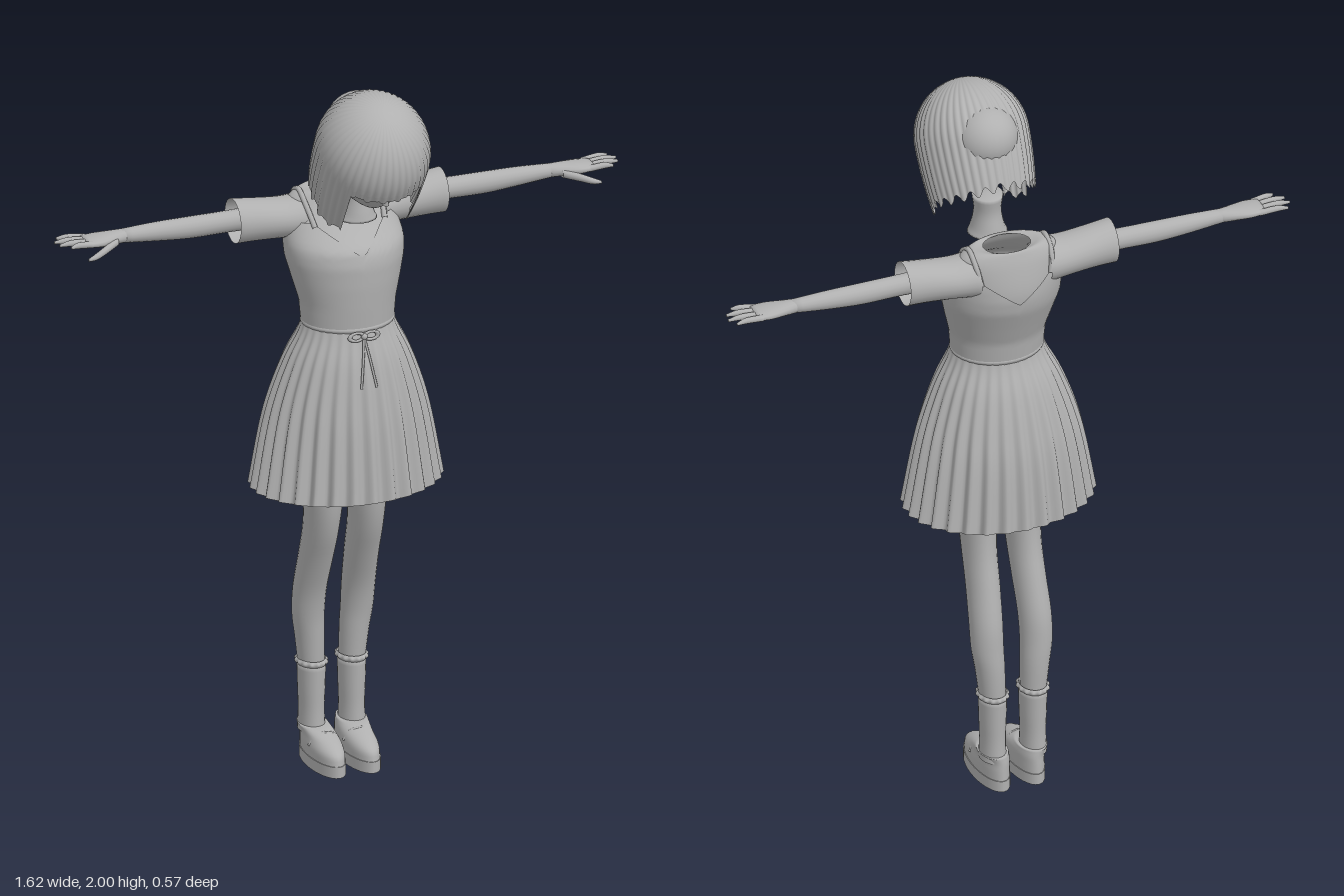
import * as THREE from 'three';

const grey = new THREE.MeshStandardMaterial({ color: 0xb0b0b0, side: THREE.DoubleSide });
grey.name = 'grey';
const TAU = Math.PI * 2;

// Closed-ring surface: fn(v, a) gives a point, v rises 0..1, a runs round from +z to +x
function surface(fn, nv, seg, capLow = false, capHigh = false) {
  const pos = [], idx = [];
  for (let i = 0; i <= nv; i++)
    for (let j = 0; j < seg; j++) pos.push(...fn(i / nv, (j / seg) * TAU));
  for (let i = 0; i < nv; i++)
    for (let j = 0; j < seg; j++) {
      const k = (j + 1) % seg, a = i * seg + j, b = i * seg + k;
      idx.push(a, b, b + seg, a, b + seg, a + seg);
    }
  const cap = (row, up) => {
    const c = pos.length / 3, m = [0, 0, 0];
    for (let j = 0; j < seg; j++) for (let k = 0; k < 3; k++) m[k] += pos[(row * seg + j) * 3 + k] / seg;
    pos.push(...m);
    for (let j = 0; j < seg; j++) {
      const a = row * seg + j, b = row * seg + ((j + 1) % seg);
      idx.push(...(up ? [a, b, c] : [b, a, c]));
    }
  };
  if (capLow) cap(0, false);
  if (capHigh) cap(nv, true);
  const g = new THREE.BufferGeometry();
  g.setAttribute('position', new THREE.Float32BufferAttribute(pos, 3));
  g.setIndex(idx);
  g.computeVertexNormals();
  return g;
}

// Smooth loft through rows of [x, y, z, radiusX, radiusZ], y rising
function loft(rows, seg = 24, low = false, high = false) {
  const c = new THREE.CatmullRomCurve3(rows.map((r) => new THREE.Vector3(r[0], r[1], r[2])), false, 'catmullrom');
  const s = new THREE.CatmullRomCurve3(rows.map((r) => new THREE.Vector3(r[3], 0, r[4])), false, 'catmullrom');
  return surface((v, a) => {
    const p = c.getPoint(v), q = s.getPoint(v);
    return [p.x + q.x * Math.sin(a), p.y, p.z + q.z * Math.cos(a)];
  }, (rows.length - 1) * 4, seg, low, high);
}

// Loft running outward along x, rows of [x, y, z, radiusY, radiusZ]
const limb = (rows, s, seg = 16, low = false, high = true) =>
  loft(rows.map(([x, y, z, ry, rz]) => [-s * y, x, z, ry, rz]), seg, low, high).rotateZ((-s * Math.PI) / 2);

// Straight-line reading of a profile table of [y, z, radiusX, radiusZ]
function at(table, y) {
  let i = 0;
  while (i < table.length - 2 && table[i + 1][0] < y) i++;
  const a = table[i], b = table[i + 1], t = THREE.MathUtils.clamp((y - a[0]) / (b[0] - a[0]), 0, 1);
  return a.map((n, k) => n + (b[k] - n) * t);
}

const TORSO = [
  [1.29, -0.058, 0.121, 0.102], [1.36, -0.06, 0.127, 0.109], [1.42, -0.07, 0.143, 0.122],
  [1.48, -0.082, 0.158, 0.134], [1.52, -0.09, 0.16, 0.132], [1.56, -0.113, 0.155, 0.106],
  [1.61, -0.132, 0.148, 0.076], [1.64, -0.136, 0.132, 0.062], [1.655, -0.135, 0.1, 0.055], [1.648, -0.13, 0.066, 0.048],
];
const SKIRT = [
  [0.83, -0.07, 0.258, 0.202], [1.0, -0.07, 0.23, 0.182], [1.1, -0.067, 0.207, 0.163],
  [1.2, -0.062, 0.172, 0.139], [1.27, -0.058, 0.138, 0.114], [1.31, -0.058, 0.123, 0.104],
];

export function createModel() {
  const model = new THREE.Group();
  const add = (name, geo, parent = model) => {
    const m = new THREE.Mesh(geo, grey);
    m.name = name;
    parent.add(m);
    return m;
  };
  const tube = (pts, r, n = 16) =>
    new THREE.TubeGeometry(new THREE.CatmullRomCurve3(pts.map((p) => new THREE.Vector3(...p))), n, r, 6);

  // Blouse with an open neck, and a bodice over it with V necklines
  add('blouse', loft(TORSO.map(([y, z, rx, rz]) => [0, y, z, rx, rz]), 40));
  add('bodice', surface((v, a) => {
    const top = 1.51 + 0.075 * Math.min(1, Math.abs(Math.sin(a)) / 0.65);
    const y = 1.3 + v * (top - 1.3), [, z, rx, rz] = at(TORSO, y);
    return [(rx + 0.006) * Math.sin(a), y, z + (rz + 0.006) * Math.cos(a)];
  }, 20, 64));

  // Pleated skirt, waistband and bow
  const skirtRows = SKIRT.map(([, z, rx, rz]) => new THREE.Vector3(z, rx, rz));
  const skirtY = new THREE.CatmullRomCurve3(SKIRT.map((r) => new THREE.Vector3(0, r[0], 0)), false, 'catmullrom');
  const skirtCurve = new THREE.CatmullRomCurve3(skirtRows, false, 'catmullrom');
  add('skirt', surface((v, a) => {
    const p = skirtCurve.getPoint(v), wave = Math.cos(a * 30), fall = 1 - v;
    const f = 1 + 0.045 * fall * wave;
    return [p.y * f * Math.sin(a), skirtY.getPoint(v).y + 0.004 * fall * wave, p.x + p.z * f * Math.cos(a)];
  }, 24, 240));
  add('waistband', loft([[0, 1.292, -0.058, 0.126, 0.108], [0, 1.3, -0.058, 0.13, 0.111], [0, 1.308, -0.058, 0.127, 0.108]], 40));
  const bow = new THREE.Group();
  bow.name = 'bow';
  model.add(bow);
  for (const s of [1, -1]) {
    add('bowLoop', new THREE.TorusGeometry(0.014, 0.005, 6, 16).scale(1.4, 0.8, 1).translate(s * 0.021, 1.286, 0.06), bow);
    add('bowTail', tube([[0, 1.284, 0.06], [s * 0.009, 1.23, 0.078], [s * 0.022, 1.15, 0.097]], 0.0035), bow);
  }
  add('bowKnot', new THREE.SphereGeometry(0.009, 10, 8).translate(0, 1.286, 0.062), bow);

  for (const s of [1, -1]) {
    const side = s > 0 ? 'left' : 'right';

    // Strap and open sleeve
    add(side + 'Strap', tube([[s * 0.1, 1.575, -0.04], [s * 0.108, 1.625, -0.085], [s * 0.11, 1.654, -0.135],
      [s * 0.108, 1.625, -0.182], [s * 0.1, 1.575, -0.2]], 0.008, 24));
    add(side + 'Sleeve', limb([[0.1, 1.58, -0.135, 0.06, 0.072], [0.16, 1.582, -0.135, 0.055, 0.066],
      [0.24, 1.588, -0.133, 0.058, 0.06], [0.3, 1.592, -0.132, 0.062, 0.059]], s, 24, false, false));

    // Arm, palm, fingers and thumb
    add(side + 'Arm', limb([[0.12, 1.592, -0.135, 0.036, 0.034], [0.3, 1.592, -0.135, 0.03, 0.028],
      [0.42, 1.591, -0.136, 0.03, 0.027], [0.52, 1.594, -0.136, 0.026, 0.025], [0.62, 1.597, -0.135, 0.019, 0.02]], s));
    add(side + 'Palm', limb([[0.61, 1.597, -0.135, 0.019, 0.02], [0.65, 1.597, -0.134, 0.018, 0.03],
      [0.69, 1.597, -0.132, 0.016, 0.039], [0.73, 1.598, -0.132, 0.011, 0.038]], s));
    for (let i = 0; i < 4; i++) {
      const k = i - 1.5, len = [0.055, 0.078, 0.083, 0.068][3 - i];
      add(side + 'Finger', limb([[0.715, 1.598, -0.133 + k * 0.02, 0.009, 0.0095], [0.73 + len * 0.5, 1.603, -0.133 + k * 0.023, 0.0085, 0.008],
        [0.725 + len, 1.601, -0.133 + k * 0.026, 0.004, 0.004]], s, 10));
    }
    add(side + 'Thumb', limb([[0.64, 1.592, -0.115, 0.012, 0.013], [0.685, 1.582, -0.088, 0.011, 0.011],
      [0.715, 1.572, -0.078, 0.009, 0.009], [0.738, 1.567, -0.074, 0.004, 0.004]], s, 10));

    // Leg
    add(side + 'Leg', loft([[1.05, 0.066, -0.07, 0.06, 0.076], [0.82, 0.063, -0.073, 0.052, 0.072], [0.7, 0.064, -0.088, 0.046, 0.067],
      [0.6, 0.066, -0.12, 0.045, 0.06], [0.5, 0.07, -0.152, 0.045, 0.053], [0.42, 0.07, -0.165, 0.044, 0.047],
      [0.35, 0.064, -0.17, 0.04, 0.044], [0.25, 0.058, -0.172, 0.034, 0.038]]
      .reverse().map(([y, x, z, rx, rz]) => [s * x, y, z, rx, rz]), 24));

    // Sock with a frilled top
    add(side + 'Sock', loft([[0.08, 0.036, 0.048], [0.14, 0.034, 0.045], [0.2, 0.036, 0.046], [0.275, 0.038, 0.048]]
      .map(([y, rx, rz]) => [s * 0.058, y, -0.172, rx, rz]), 24, false, true));
    add(side + 'SockFrill', surface((v, a) => {
      const r = 1 + 0.05 * Math.cos(a * 14) * Math.sin(v * Math.PI), b = Math.sin(v * Math.PI) * 0.006;
      return [s * 0.058 + (0.037 + b) * r * Math.sin(a), 0.268 + v * 0.018, -0.172 + (0.047 + b) * r * Math.cos(a)];
    }, 6, 84));

    // Shoe: flat sole, rounded upper and a strap
    const shoe = new THREE.Group();
    shoe.name = side + 'Shoe';
    model.add(shoe);
    const x = s * 0.05;
    add('sole', new THREE.CylinderGeometry(1, 1, 0.032, 32).scale(0.047, 1, 0.122).translate(x, 0.016, -0.112), shoe);
    add('upper', loft([[x, 0.03, -0.112, 0.045, 0.12], [x, 0.058, -0.116, 0.045, 0.114], [x, 0.08, -0.136, 0.042, 0.092],
      [s * 0.056, 0.1, -0.168, 0.04, 0.058]], 32, false, true), shoe);
    add('shoeStrap', tube([[x - 0.043, 0.06, -0.1], [x - 0.028, 0.084, -0.096], [x, 0.092, -0.094],
      [x + 0.028, 0.084, -0.096], [x + 0.043, 0.06, -0.1]], 0.005), shoe);
  }

  // Neck, set ahead of the body
  add('neck', loft([[0, 1.612, 0.008, 0.055, 0.053], [0, 1.635, 0.008, 0.045, 0.049], [0, 1.68, 0.008, 0.037, 0.041],
    [0, 1.728, 0.008, 0.042, 0.046]], 24, true, true));

  // Head bowed forward
  const head = new THREE.Group();
  head.name = 'head';
  head.position.set(0, 1.845, 0.12);
  head.rotation.x = 0.52;
  model.add(head);

  // Face narrowing to the chin, with a small nose
  const face = new THREE.SphereGeometry(0.13, 32, 24);
  const p = face.attributes.position;
  for (let i = 0; i < p.count; i++) {
    const t = Math.max(0, -p.getY(i) / 0.13);
    p.setXYZ(i, p.getX(i) * (0.98 - 0.35 * t * t), p.getY(i) * 0.95 - 0.015, p.getZ(i) * (1.08 - 0.25 * t) + 0.06 * t * t);
  }
  face.computeVertexNormals();
  add('face', face, head);
  add('nose', new THREE.ConeGeometry(0.009, 0.025, 8).translate(0, -0.045, 0.142), head);

  // Ribbed bob: short fringe, long side locks, ragged back
  add('hair', surface((v, a) => {
    const f = a > Math.PI ? TAU - a : a;
    const rag = 0.008 * Math.cos(a * 22);
    const rim = f < 0.72 ? -0.022 + rag * 0.5 : f < 1.35 ? -0.19 + rag + 0.03 * Math.abs(f - 1.1) : -0.165 + rag * 1.4 + 0.012 * (f - 1.35);
    const rib = 1 - 0.025 * Math.pow(Math.abs(Math.sin(a * 22)), 4);
    let y, r;
    if (v < 0.4) {
      const d = 1 - v / 0.4;
      y = rim * d;
      r = 1 - 0.1 * Math.pow(-y / 0.19, 2);
    } else {
      const e = ((v - 0.4) / 0.6) * Math.PI / 2;
      y = 0.158 * Math.sin(e);
      r = Math.max(Math.cos(e), 0.002);
    }
    return [0.155 * r * rib * Math.sin(a), y, 0.166 * r * rib * Math.cos(a)];
  }, 30, 264), head);

  // Smooth rounded back of the skull, showing through the hair
  add('skullBack', new THREE.SphereGeometry(0.09, 28, 20).scale(1, 0.96, 1).translate(-0.003, 1.893, 0.034));

  return model;
}
